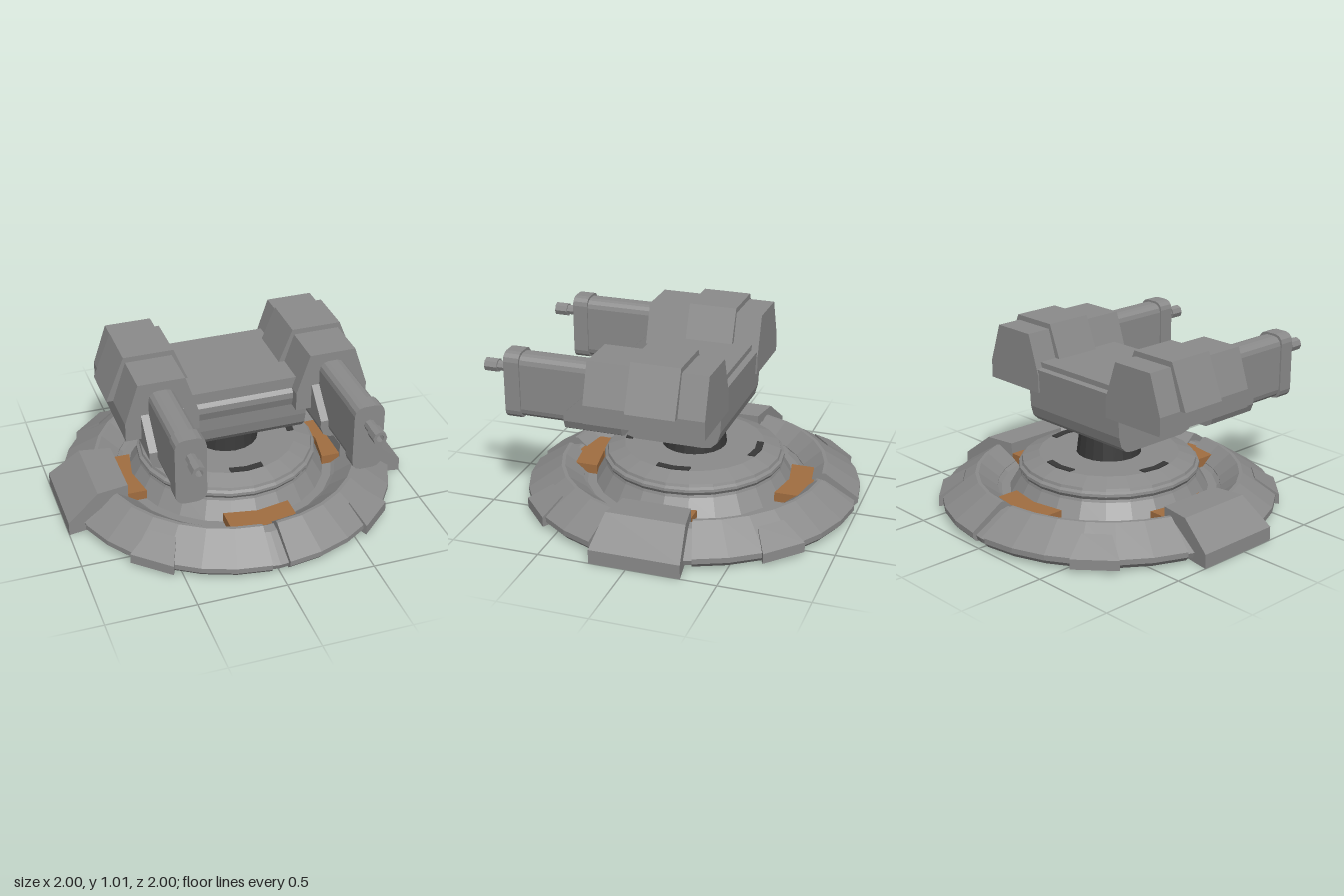
import * as THREE from 'three';

const mat = (color) => new THREE.MeshStandardMaterial({ color, flatShading: true, side: THREE.DoubleSide });
const grey = mat(0x8a8a8a);
const dark = mat(0x383838);
const orange = mat(0xa06d40);

function add(parent, name, geometry, material = grey) {
  const mesh = new THREE.Mesh(geometry, material);
  mesh.name = name;
  parent.add(mesh);
  return mesh;
}

// Skins a row of equal-length convex loops and caps both ends
function sweep(sections) {
  const n = sections[0].length, last = (sections.length - 1) * n, index = [];
  for (let s = 0; s < last; s += n) {
    for (let i = 0; i < n; i++) {
      const j = (i + 1) % n;
      index.push(s + i, s + n + i, s + j, s + n + j, s + j, s + n + i);
    }
  }
  for (let i = 1; i < n - 1; i++) index.push(0, i, i + 1, last, last + i + 1, last + i);
  const g = new THREE.BufferGeometry();
  g.setAttribute('position', new THREE.Float32BufferAttribute(sections.flat(2), 3));
  g.setIndex(index);
  const flat = g.toNonIndexed();
  flat.computeVertexNormals();
  return flat;
}

// Block with a radial profile [r, y], spread sideways by width(r)
const padGeometry = (profile, width) =>
  sweep([-1, 1].map((s) => profile.map(([r, y]) => [s * width(r), y, r])));

// Block following a shallow chevron whose ends sit further in
const chevronGeometry = (profile, half, inset) =>
  sweep([-1, 0, 1].map((s) => profile.map(([r, y]) => [s * half, y, r - Math.abs(s) * inset])));

// Extrusion of an [x, y] outline between two z positions
function prism(points, z0, z1, steps = 1) {
  const shape = new THREE.Shape(points.map(([x, y]) => new THREE.Vector2(x, y)));
  const g = new THREE.ExtrudeGeometry(shape, { depth: z1 - z0, bevelEnabled: false, steps });
  return g.translate(0, 0, z0);
}

// Rounded upright outline
function rounded(half, y0, y1, r) {
  const pts = [];
  const corners = [[half - r, y0 + r, -90], [half - r, y1 - r, 0], [r - half, y1 - r, 90], [r - half, y0 + r, 180]];
  for (const [cx, cy, start] of corners) {
    for (let k = 0; k <= 3; k++) {
      const a = THREE.MathUtils.degToRad(start + k * 30);
      pts.push([cx + r * Math.cos(a), cy + r * Math.sin(a)]);
    }
  }
  return pts;
}

function createBase() {
  const base = new THREE.Group();
  base.name = 'base';
  base.position.z = -0.045;

  // Floor, trough and stepped central mound
  const profile = [[0, 0.026], [0.93, 0.026], [0.94, 0.055], [0.77, 0.155], [0.72, 0.165], [0.62, 0.1],
    [0.57, 0.1], [0.51, 0.2], [0.505, 0.215], [0.518, 0.235], [0.516, 0.25], [0.5, 0.26], [0.495, 0.275], [0.4, 0.31], [0, 0.31]];
  add(base, 'baseDisc', new THREE.LatheGeometry(profile.map((p) => new THREE.Vector2(...p)), 24));

  // Four armoured rim sections, leaving narrow slots and wide side gaps
  const rim = [[0.64, 0.02], [0.93, 0.018], [0.955, 0.045], [0.955, 0.075], [0.765, 0.2], [0.745, 0.2], [0.64, 0.118]];
  for (const start of [3, 107.6, 183, 287.6]) {
    const sections = [0, 1, 2, 3, 4, 5, 6].map((k) => {
      const a = THREE.MathUtils.degToRad(start + k * 11.57);
      return rim.map(([r, y]) => [r * Math.sin(a), y, r * Math.cos(a)]);
    });
    add(base, 'rimSection', sweep(sections));
  }

  // Side feet, diagonal clamps, flat trough panels and mound vents
  const foot = padGeometry([[0.64, 0], [1, 0], [1, 0.08], [0.82, 0.22], [0.64, 0.22]], (r) => 0.255 - (1 - r) * 0.167);
  const clamp = padGeometry([[0.83, 0.023], [0.967, 0.023], [0.967, 0.08], [0.83, 0.165]], (r) => 0.08 + (r - 0.83) * 0.365);
  const panel = chevronGeometry([[0.565, 0.09], [0.725, 0.09], [0.725, 0.155], [0.565, 0.155]], 0.19, 0.035);
  const vent = chevronGeometry([[0.36, 0.29], [0.4, 0.29], [0.4, 0.316], [0.36, 0.316]], 0.095, 0.015);
  for (let k = 0; k < 4; k++) {
    const turn = k * Math.PI / 2;
    if (k % 2) add(base, 'sideFoot', foot).rotation.y = turn;
    // clamps sit slightly nearer the front and back than the true diagonals
    add(base, 'rimClamp', clamp).rotation.y = turn + Math.PI / 4 + (k % 2 ? 0.045 : -0.045);
    add(base, 'troughPanel', panel, orange).rotation.y = turn;
    add(base, 'moundVent', vent, dark).rotation.y = turn;
  }

  const column = new THREE.CylinderGeometry(0.165, 0.187, 0.18, 20);
  add(base, 'column', column, dark).position.y = 0.39;
  return base;
}

function createPod(side) {
  const pod = new THREE.Group();
  pod.name = side > 0 ? 'leftGunPod' : 'rightGunPod';
  pod.position.x = side * 0.482;

  // Housing with a raised armour band
  add(pod, 'housing', prism([[-0.205, 0.65], [0.205, 0.65], [0.205, 0.755], [0.13, 0.98], [-0.13, 0.98], [-0.205, 0.755]], -0.33, 0.35));
  add(pod, 'armourBand', prism([[-0.243, 0.755], [0.243, 0.755], [0.14, 1.01], [-0.14, 1.01]], -0.18, 0.1));

  // Cradle under the gun, its upper edge sloping down at the front
  const cradle = prism([[-0.118, 0.81], [-0.118, 0.61], [-0.1, 0.565], [-0.065, 0.546], [0.065, 0.546],
    [0.1, 0.565], [0.118, 0.61], [0.118, 0.81]], 0.17, 0.5, 2);
  const p = cradle.attributes.position;
  for (let i = 0; i < p.count; i++) if (p.getZ(i) > 0.45 && p.getY(i) > 0.7) p.setY(i, 0.65);
  add(pod, 'cradle', cradle);

  // Gun body, end plate and hollow barrel
  add(pod, 'gunBody', prism(rounded(0.074, 0.57, 0.93, 0.05), 0.3, 0.78));
  add(pod, 'endPlate', prism(rounded(0.084, 0.56, 0.942, 0.05), 0.77, 0.86));
  const bore = [[0.03, 0], [0.03, 0.07], [0.039, 0.07], [0.039, 0.145], [0.021, 0.145], [0.021, 0.02], [0, 0.02]];
  const barrel = new THREE.LatheGeometry(bore.map((q) => new THREE.Vector2(...q)), 8);
  add(pod, 'barrel', barrel.rotateX(Math.PI / 2)).position.set(0, 0.832, 0.855);
  return pod;
}

export function createModel() {
  const model = new THREE.Group();
  model.name = 'turret';
  model.add(createBase());

  // Cross body: side outline [z, y] extruded across the width
  const outline = [[0.17, 0.45], [0.225, 0.465], [0.26, 0.505], [0.275, 0.57], [0.282, 0.65], [0.3, 0.7], [0.3, 0.735],
    [0.28, 0.755], [0.28, 0.82], [-0.29, 0.82], [-0.29, 0.79], [-0.325, 0.785],
    [-0.312, 0.55], [-0.295, 0.49], [-0.26, 0.458], [-0.22, 0.45]];
  const body = prism(outline, -0.365, 0.365).rotateY(-Math.PI / 2);
  add(model, 'crossBody', body);

  for (const side of [1, -1]) model.add(createPod(side));
  return model;
}
